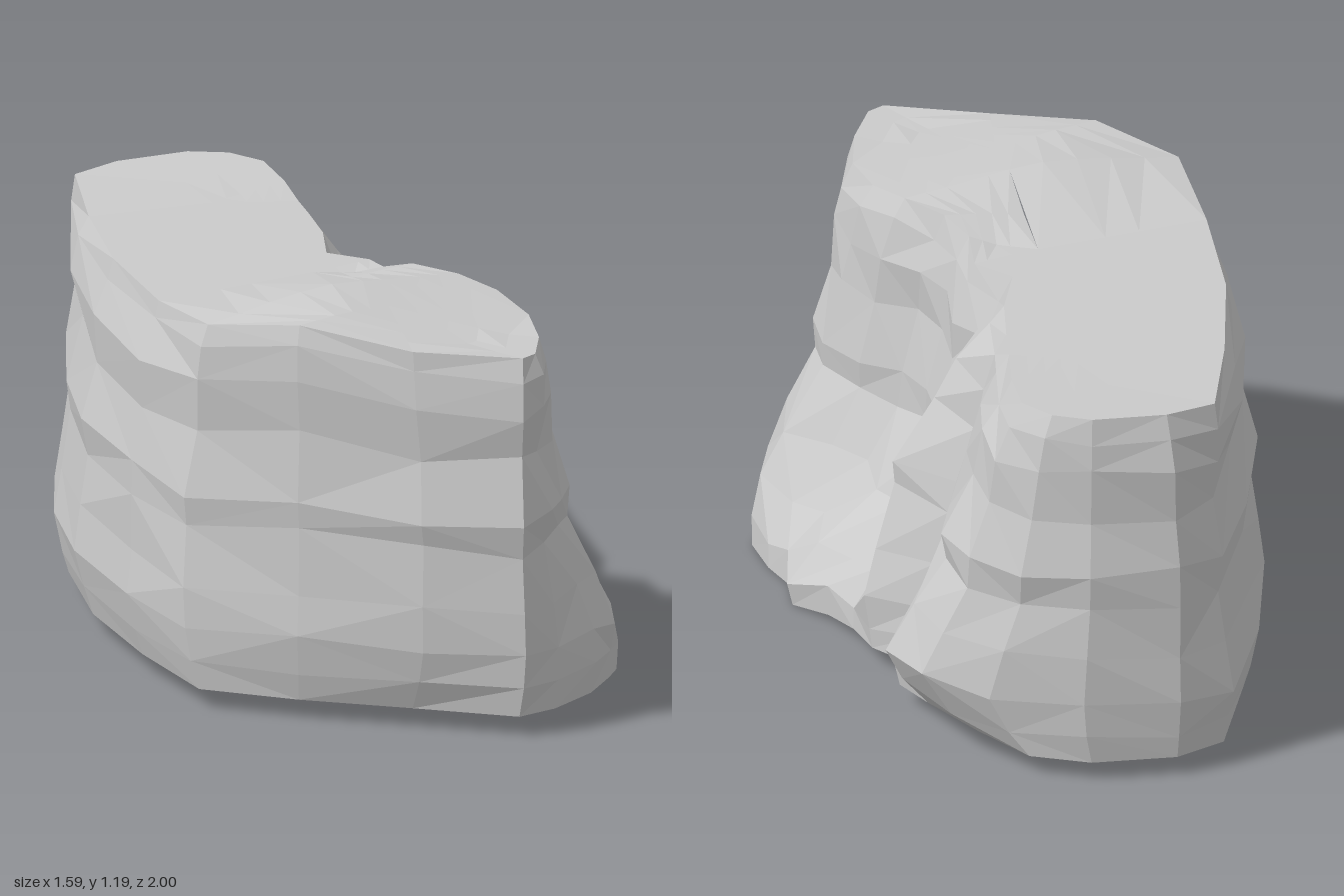
import * as THREE from 'three';

// Plan outlines [x, z] at four heights, running back-left, front, right, back
const BASE = [[-.76,-.77],[-.75,-.4],[-.68,0],[-.54,.38],[-.38,.71],[-.1,.81],[.22,.89],[.52,.97],[.62,.89],[.72,.74],[.77,.5],[.79,.33],
  [.72,.2],[.64,.1],[.61,-.02],[.49,-.11],[.4,-.22],[.32,-.36],[.17,-.46],[.2,-.58],[.1,-.68],[-.07,-.83],[-.24,-.96],[-.42,-.97],[-.65,-.89]];
const LOW = [[-.79,-.78],[-.79,-.4],[-.73,0],[-.58,.4],[-.42,.72],[-.1,.85],[.25,.96],[.54,1],[.64,.9],[.74,.74],[.79,.55],[.8,.36],
  [.74,.22],[.66,.14],[.63,-.02],[.5,-.12],[.41,-.22],[.34,-.36],[.17,-.45],[.22,-.58],[.22,-.72],[.1,-.88],[-.12,-.98],[-.4,-.99],[-.66,-.9]];
const MID = [[-.75,-.78],[-.75,-.4],[-.71,0],[-.57,.4],[-.42,.7],[-.1,.85],[.25,.96],[.53,.99],[.6,.9],[.63,.74],[.66,.56],[.61,.42],
  [.48,.3],[.35,.2],[.26,.1],[.2,-.03],[.15,-.13],[.27,-.3],[.08,-.43],[.07,-.56],[.05,-.74],[-.06,-.9],[-.22,-.98],[-.42,-.99],[-.66,-.9]];
const TOP = [[-.74,-.77],[-.7,-.4],[-.63,0],[-.5,.4],[-.36,.72],[-.1,.84],[.22,.93],[.53,.95],[.57,.9],[.58,.74],[.55,.55],[.46,.38],
  [.35,.28],[.22,.19],[.14,.13],[.1,0],[-.02,-.06],[-.03,-.25],[-.07,-.43],[-.1,-.55],[-.14,-.72],[-.2,-.88],[-.3,-.95],[-.42,-.96],[-.62,-.88]];
const COUNT = LOW.length;

// Outline heights, in order
const SECTIONS = [[.06, BASE], [.2, LOW], [.55, MID], [1.1, TOP]];

// Strata: height fraction and outward offset of each layer
const LAYERS = [[0,0],[.07,0],[.17,.004],[.3,0],[.46,-.007],[.55,.008],[.71,-.008],[.84,.012],[.94,.008],[1,-.006]];

const clamp = THREE.MathUtils.clamp;
const lerp = THREE.MathUtils.lerp;
const noise = (i, j) => {
  const s = Math.sin(i * 127.1 + j * 311.7) * 43758.5453;
  return (s - Math.floor(s)) * 2 - 1;
};

// Underside dips slightly below the right-hand foot
const baseY = (x, z) => .06 - .058 * clamp(x / .6, 0, 1) * clamp(1.5 - Math.abs(z - .15) / .35, 0, 1);

// Flat plateau, with a ridge across the front block that slopes down to the front
function topY(x, z) {
  const d = (x + .36) * .757 + (z - .73) * .653;
  const s = (x + .36) * .653 - (z - .73) * .757;
  const across = d < .13 ? clamp((d + .08) / .21, 0, 1) : clamp(1 - (d - .13) / .5, 0, 1);
  const along = 1 - .4 * clamp(Math.abs(s - .25) / .55, 0, 1);
  return 1.105 + .097 * across * along + .02 * clamp(-z - .6, 0, .35) / .35;
}

// Nearest of nine points on the centre line that closes the top and underside
function spine([x, z]) {
  const ax = -.42, az = -.7, dx = .57, dz = 1.32;
  const t = clamp(((x - ax) * dx + (z - az) * dz) / (dx * dx + dz * dz), 0, 1);
  const step = Math.round(t * 8) / 8;
  return [ax + dx * step, az + dz * step];
}

// Blend the outlines at a given height; the foot of the recess flares out only near the ground
function outline(i, y) {
  const k = y < .2 ? 0 : y < .55 ? 1 : 2;
  const [y0, from] = SECTIONS[k], [y1, to] = SECTIONS[k + 1];
  const flare = i > 11 && i < 17 ? .5 : 1;
  const t = clamp((y - y0) / (y1 - y0), 0, 1) ** [1, flare, 1.3][k];
  return [lerp(from[i][0], to[i][0], t), lerp(from[i][1], to[i][1], t)];
}

function layerRing([f, offset], j) {
  const edge = j === 0 || j === LAYERS.length - 1;
  return LOW.map((_, i) => {
    const y0 = .06 + f * 1.04 + (edge ? 0 : .018 * noise(i, j));
    const p = outline(i, y0);
    const before = outline((i + COUNT - 1) % COUNT, y0), after = outline((i + 1) % COUNT, y0);
    const tx = after[0] - before[0], tz = after[1] - before[1], len = Math.hypot(tx, tz);
    const push = edge ? offset : offset * (1 + noise(i + 7, j)) + .008 * noise(i + 40, j);
    const x = clamp(p[0] - tz / len * push, -.8, .8);
    const z = clamp(p[1] + tx / len * push, -1, 1);
    return [x, lerp(baseY(x, z), topY(x, z), (y0 - .06) / 1.04), z];
  });
}

// Ring drawn in towards the centre line, following a height rule
function innerRing(ring, t, height) {
  return ring.map(([x, , z]) => {
    const [sx, sz] = spine([x, z]);
    const px = lerp(x, sx, t), pz = lerp(z, sz, t);
    return [px, height(px, pz), pz];
  });
}

function loft(rings) {
  const positions = [], index = [];
  rings.forEach(r => r.forEach(p => positions.push(...p)));
  for (let j = 0; j < rings.length - 1; j++) {
    for (let i = 0; i < COUNT; i++) {
      const n = (i + 1) % COUNT;
      const a = j * COUNT + i, b = j * COUNT + n, c = b + COUNT, d = a + COUNT;
      // Alternate the diagonals for irregular facets
      if (noise(i, j + 90) > 0) index.push(a, b, c, a, c, d);
      else index.push(a, b, d, b, c, d);
    }
  }
  const geometry = new THREE.BufferGeometry();
  geometry.setAttribute('position', new THREE.Float32BufferAttribute(positions, 3));
  geometry.setIndex(index);
  geometry.computeVertexNormals();
  return geometry;
}

export function createModel() {
  const group = new THREE.Group();
  group.name = 'rockFormation';
  const material = new THREE.MeshStandardMaterial({ color: 0xcccccc, flatShading: true });

  // Underside, layered walls and top as one closed rock
  const walls = LAYERS.map(layerRing);
  const rim = walls[walls.length - 1];
  const rings = [
    innerRing(walls[0], 1, baseY),
    ...walls,
    ...[.2, .4, .6, .8, 1].map(t => innerRing(rim, t, topY)),
  ];
  const rock = new THREE.Mesh(loft(rings), material);
  rock.name = 'cliffRock';
  group.add(rock);
  return group;
}
